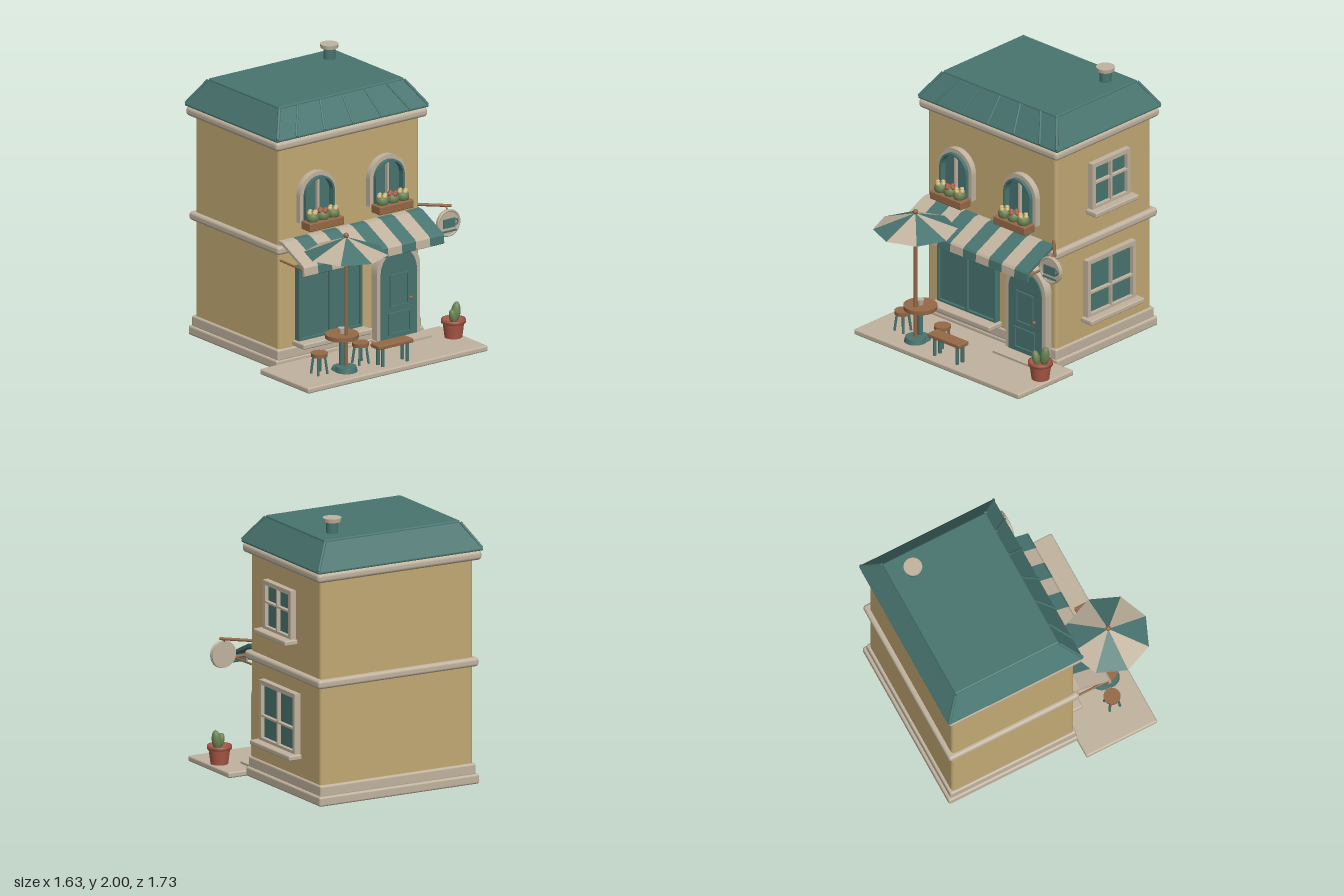
import * as THREE from 'three';
import { RoundedBoxGeometry } from 'three/addons/geometries/RoundedBoxGeometry.js';

const material = (name, color, side = THREE.FrontSide) => {
  const m = new THREE.MeshStandardMaterial({ color, side });
  m.name = name;
  return m;
};

export function createModel() {
  const wall = material('ochre plaster', 0xc2a974);
  const teal = material('teal paint', 0x48746f, THREE.DoubleSide);
  const stone = material('pale stone', 0xc0b29e, THREE.DoubleSide);
  const wood = material('brown wood', 0x956846);
  const clay = material('terracotta', 0xa95845);
  const leaf = material('leaf green', 0x6a8455);
  const petal = material('yellow petal', 0xd0b476);

  const model = new THREE.Group();
  model.name = 'cafe';
  const add = (name, geo, mat, x = 0, y = 0, z = 0, parent = model) => {
    const m = new THREE.Mesh(geo, mat);
    m.name = name;
    m.position.set(x, y, z);
    parent.add(m);
    return m;
  };
  // Box given by its limits on each axis; r > 0 rounds the edges
  const box = (name, mat, x0, x1, y0, y1, z0, z1, r = 0) => {
    const s = [x1 - x0, y1 - y0, z1 - z0];
    const geo = r ? new RoundedBoxGeometry(...s, 3, r) : new THREE.BoxGeometry(...s);
    return add(name, geo, mat, (x0 + x1) / 2, (y0 + y1) / 2, (z0 + z1) / 2);
  };
  const cyl = (name, mat, r0, r1, y0, y1, x, z, n = 28) =>
    add(name, new THREE.CylinderGeometry(r1, r0, y1 - y0, n), mat, x, (y0 + y1) / 2, z);
  const rod = (name, mat, a, b, r) => {
    const p = new THREE.Vector3(...a), q = new THREE.Vector3(...b);
    const d = q.clone().sub(p);
    const m = add(name, new THREE.CylinderGeometry(r, r, d.length(), 10), mat);
    m.position.copy(p).lerp(q, 0.5);
    m.quaternion.setFromUnitVectors(new THREE.Vector3(0, 1, 0), d.normalize());
    return m;
  };
  const ball = (name, mat, r, x, y, z) => add(name, new THREE.SphereGeometry(r, 16, 12), mat, x, y, z);

  // Round-topped outline centred on x
  const arch = (w, y0, y1, T = THREE.Shape) => {
    const r = w / 2, s = new T();
    s.moveTo(-r, y0);
    s.lineTo(r, y0);
    s.lineTo(r, y1 - r);
    s.absarc(0, y1 - r, r, 0, Math.PI, false);
    s.lineTo(-r, y0);
    return s;
  };
  const rect = (x0, x1, y0, y1, T = THREE.Shape) => {
    const s = new T();
    s.moveTo(x0, y0); s.lineTo(x1, y0); s.lineTo(x1, y1); s.lineTo(x0, y1); s.lineTo(x0, y0);
    return s;
  };
  const extrude = (shape, depth, holes = []) => {
    shape.holes.push(...holes);
    return new THREE.ExtrudeGeometry(shape, { depth, bevelEnabled: false, curveSegments: 16 });
  };

  // Building body, plinth and bands
  box('foundation', stone, -0.67, 0.625, 0, 0.07, -0.85, 0.17, 0.015);
  box('plinth', stone, -0.655, 0.607, 0.06, 0.145, -0.83, 0.165, 0.015);
  box('walls', wall, -0.64, 0.595, 0.1, 1.65, -0.81, 0.155, 0.025);
  box('floorBand', stone, -0.67, 0.63, 0.845, 0.908, -0.845, 0.185, 0.022);
  box('cornice', stone, -0.69, 0.642, 1.612, 1.682, -0.858, 0.2, 0.028);
  box('pavement', stone, -0.814, 0.768, 0, 0.042, 0.16, 0.72, 0.012);
  box('doorStep', stone, 0.16, 0.565, 0.04, 0.058, 0.16, 0.34);

  // Mansard roof: a box whose top is drawn in
  const low = { x0: -0.69, x1: 0.645, z0: -0.865, z1: 0.198 };
  const top = { x0: -0.572, x1: 0.525, z0: -0.748, z1: 0.072 };
  const roofGeo = new THREE.BoxGeometry(1, 1, 1);
  const p = roofGeo.attributes.position;
  for (let i = 0; i < p.count; i++) {
    const up = p.getY(i) > 0, e = up ? top : low;
    p.setXYZ(i, p.getX(i) > 0 ? e.x1 : e.x0, up ? 1.875 : 1.7, p.getZ(i) > 0 ? e.z1 : e.z0);
  }
  roofGeo.computeVertexNormals();
  add('roof', roofGeo, teal);
  box('roofEave', teal, low.x0, low.x1, 1.682, 1.702, low.z0, low.z1, 0.008);
  box('roofDeck', teal, top.x0, top.x1, 1.86, 1.89, top.z0, top.z1, 0.012);
  for (let i = 0; i < 5; i++) {
    rod('roofSeam', teal, [-0.522 + i * 0.25, 1.7, low.z1], [-0.41 + i * 0.195, 1.875, top.z1], 0.009);
  }
  for (const x of ['x0', 'x1']) for (const z of ['z0', 'z1']) {
    rod('hipRidge', teal, [low[x] * 0.99, 1.702, low[z] * 0.99], [top[x], 1.875, top[z]], 0.011);
  }
  cyl('chimney', teal, 0.042, 0.042, 1.87, 1.98, 0.37, -0.585);
  add('chimneyCap', new RoundedBoxGeometry(0.01, 0.01, 0.01, 1, 0.002), stone, 0.37, 1.985, -0.585).geometry =
    new THREE.CylinderGeometry(0.066, 0.062, 0.028, 28);

  // Arched upper windows with flower boxes
  for (const x of [-0.33, 0.283]) {
    add('archSurround', extrude(arch(0.315, 1.05, 1.405), 0.05, [arch(0.255, 1.06, 1.375, THREE.Path)]), stone, x, 0, 0.15);
    add('archSash', extrude(arch(0.255, 1.05, 1.375), 0.08, [arch(0.225, 1.07, 1.36, THREE.Path)]), teal, x, 0, 0.148);
    add('archGlass', extrude(arch(0.24, 1.055, 1.37), 0.03), teal, x, 0, 0.15);
    box('archMullion', stone, x - 0.008, x + 0.008, 1.07, 1.365, 0.17, 0.205);
    box('flowerBox', wood, x - 0.15, x + 0.15, 1.012, 1.073, 0.2, 0.305, 0.008);
    for (const k of [-1, 0, 1]) {
      const bx = x + k * 0.09;
      ball('bush', leaf, 0.046, bx, 1.098, 0.253);
      for (const [dx, dz] of [[-0.026, 0], [0.026, 0], [0, 0.026], [0, -0.026]]) {
        ball('flower', k ? petal : clay, 0.018, bx + dx, 1.133, 0.253 + dz);
      }
    }
  }

  // Shop window
  add('shopWindowFrame', extrude(rect(-0.5, 0.055, 0.19, 0.737), 0.055,
    [rect(-0.485, -0.232, 0.205, 0.722, THREE.Path), rect(-0.213, 0.04, 0.205, 0.722, THREE.Path)]), teal, 0, 0, 0.15);
  box('shopGlass', teal, -0.495, 0.05, 0.195, 0.73, 0.15, 0.185);
  box('shopSill', stone, -0.52, 0.075, 0.15, 0.19, 0.15, 0.285, 0.01);

  // Arched door
  const dx = 0.362;
  add('doorSurround', extrude(arch(0.38, 0.045, 0.738), 0.07, [arch(0.314, 0.05, 0.7, THREE.Path)]), stone, dx, 0, 0.15);
  add('door', extrude(arch(0.314, 0.05, 0.69), 0.075), teal, dx, 0, 0.15);
  for (const [y0, y1, w] of [[0.285, 0.527, 0.166], [0.085, 0.247, 0.196]]) {
    add('doorPanelTrim', extrude(rect(-w / 2, w / 2, y0, y1), 0.012,
      [rect(0.012 - w / 2, w / 2 - 0.012, y0 + 0.012, y1 - 0.012, THREE.Path)]), teal, dx, 0, 0.225);
  }
  ball('doorKnob', wood, 0.013, 0.458, 0.33, 0.235);

  // Sash windows on the model's left wall
  const sideWindow = (z0, z1, y0, y1, bar) => {
    const zc = (z0 + z1) / 2, g = 0.032;
    const a = z0 + g, b = z1 - g, h = 0.007;
    // Shape x runs along -z once turned to face +x
    const pane = (u0, u1, v0, v1) => rect(zc - u1, zc - u0, v0, v1, THREE.Path);
    const frame = add('sideWindowFrame', extrude(rect(zc - z1, zc - z0, y0, y1), 0.045, [
      pane(a, zc - h, y0 + 0.02, bar - h), pane(zc + h, b, y0 + 0.02, bar - h),
      pane(a, zc - h, bar + h, y1 - g), pane(zc + h, b, bar + h, y1 - g)]), stone, 0.625, 0, zc);
    frame.rotation.y = Math.PI / 2;
    box('sideWindowGlass', teal, 0.627, 0.642, y0 + 0.01, y1 - 0.01, z0 + 0.01, z1 - 0.01);
    box('sideWindowSill', stone, 0.625, 0.73, y0 - 0.038, y0, z0 - 0.026, z1 + 0.026, 0.01);
  };
  sideWindow(-0.522, -0.137, 1.142, 1.49, 1.336);
  sideWindow(-0.58, -0.088, 0.327, 0.76, 0.505);

  // Striped awning, one bent strip per stripe
  const strip = new THREE.Shape([[0.15, 0.945], [0.2, 0.94], [0.43, 0.83], [0.443, 0.815], [0.447, 0.757], [0.435, 0.75],
    [0.425, 0.757], [0.423, 0.81], [0.2, 0.915], [0.15, 0.92]].map(c => new THREE.Vector2(...c)));
  const sw = 0.123;
  for (let i = 0; i < 10; i++) {
    const geo = extrude(strip.clone(), sw).rotateY(-Math.PI / 2);
    add('awningStripe', geo, i % 2 ? teal : stone, -0.64 + (i + 1) * sw);
  }
  rod('awningBar', wood, [-0.645, 0.795, 0.415], [0.595, 0.795, 0.415], 0.01);
  for (const x of [-0.63, 0.58]) rod('awningStay', wood, [x, 0.8, 0.16], [x, 0.795, 0.415], 0.008);

  // Hanging round sign with a raised cup
  rod('signArm', wood, [0.575, 0.97, 0.16], [0.745, 0.97, 0.325], 0.011);
  rod('signHanger', wood, [0.712, 0.94, 0.325], [0.712, 0.97, 0.305], 0.006);
  const sx = 0.712, sy = 0.853;
  add('signDisc', new THREE.CylinderGeometry(0.096, 0.096, 0.025, 36).rotateX(Math.PI / 2), stone, sx, sy, 0.328);
  add('signRim', new THREE.TorusGeometry(0.092, 0.009, 8, 36), stone, sx, sy, 0.338);
  box('signCup', teal, 0.658, 0.765, 0.82, 0.885, 0.338, 0.349);
  add('signCupHandle', new THREE.TorusGeometry(0.019, 0.006, 8, 20), teal, 0.768, 0.855, 0.344);
  box('signSaucer', teal, 0.645, 0.775, 0.788, 0.8, 0.338, 0.349);

  // Parasol: eight alternating flat panels on a pole
  const ux = -0.365, uz = 0.568;
  for (let k = 0; k < 8; k++) {
    const geo = new THREE.CylinderGeometry(0.004, 0.297, 0.12, 1, 1, true, k * Math.PI / 4, Math.PI / 4).toNonIndexed();
    geo.computeVertexNormals();
    add('parasolPanel', geo, k % 2 ? teal : stone, ux, 0.965, uz);
  }
  cyl('parasolPole', wood, 0.013, 0.013, 0.06, 1.03, ux, uz, 14);
  ball('parasolFinial', wood, 0.019, ux, 1.038, uz);
  cyl('parasolBase', teal, 0.08, 0.072, 0.042, 0.078, ux, uz);

  // Round table with a cup
  const tz = 0.518;
  cyl('tableTop', wood, 0.118, 0.12, 0.275, 0.305, ux, tz);
  cyl('tablePedestal', teal, 0.02, 0.02, 0.06, 0.28, ux, tz);
  cyl('tableFoot', teal, 0.075, 0.065, 0.042, 0.065, ux, tz);
  cyl('cup', stone, 0.02, 0.027, 0.305, 0.347, ux, tz, 18);

  // Stools and bench
  for (const [x, z] of [[-0.55, 0.5], [-0.18, 0.49]]) {
    cyl('stoolSeat', wood, 0.058, 0.06, 0.17, 0.197, x, z);
    for (let k = 0; k < 4; k++) {
      const t = Math.PI / 4 + k * Math.PI / 2, c = Math.cos(t), s = Math.sin(t);
      rod('stoolLeg', teal, [x + c * 0.058, 0.042, z + s * 0.058], [x + c * 0.04, 0.175, z + s * 0.04], 0.009);
    }
  }
  box('benchSeat', wood, -0.155, 0.15, 0.175, 0.205, 0.57, 0.672, 0.008);
  for (const x of [-0.105, 0.11]) for (const z of [0.593, 0.648]) {
    rod('benchLeg', teal, [x, 0.042, z], [x, 0.18, z], 0.013);
  }

  // Potted cactus
  const px = 0.692, pz = 0.418;
  cyl('pot', clay, 0.062, 0.077, 0.042, 0.155, px, pz);
  add('potRim', new THREE.LatheGeometry([[0.0, 0.16], [0.07, 0.16], [0.074, 0.175], [0.087, 0.175], [0.087, 0.15], [0.07, 0.15]]
    .reverse().map(c => new THREE.Vector2(...c)), 28), clay, px, 0, pz);
  for (const [x, y, z, r, h, tilt] of [[0.722, 0.215, 0.405, 0.034, 0.075, -0.15], [0.67, 0.2, 0.44, 0.027, 0.055, 0.25]]) {
    const lobe = ball('cactusLobe', leaf, 1, x, y, z);
    lobe.scale.set(r, h, r);
    lobe.rotation.z = tilt;
  }
  return model;
}
